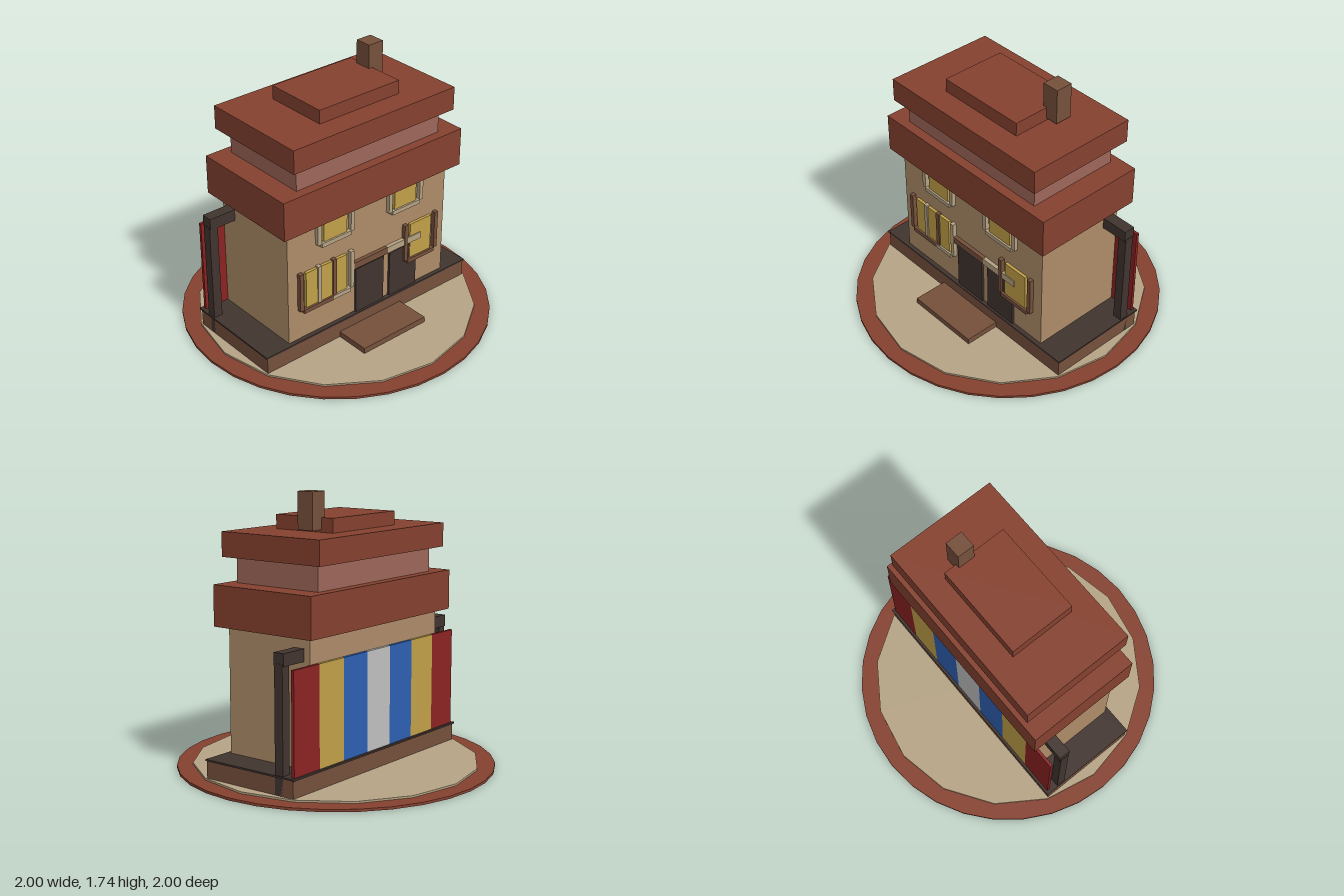
import * as THREE from 'three';

const mat = (name, color) => {
  const m = new THREE.MeshStandardMaterial({ color });
  m.name = name;
  return m;
};

export function createModel() {
  const model = new THREE.Group();
  model.name = 'house';
  const clay = mat('clayRed', 0x85412f), sand = mat('sand', 0xb5a384),
    tan = mat('tanPlaster', 0xae8c69), pink = mat('pinkPlaster', 0x9d6659),
    dark = mat('darkTimber', 0x41342f), brown = mat('brownTimber', 0x75503b),
    yellow = mat('yellow', 0xc1a048), red = mat('red', 0x8b2222),
    blue = mat('blue', 0x2e60b3), white = mat('paleGrey', 0xc0c0c0);

  // Box given by its minimum and maximum on each axis
  const box = (name, m, x0, x1, y0, y1, z0, z1, parent = model) => {
    const mesh = new THREE.Mesh(new THREE.BoxGeometry(x1 - x0, y1 - y0, z1 - z0), m);
    mesh.position.set((x0 + x1) / 2, (y0 + y1) / 2, (z0 + z1) / 2);
    mesh.name = name;
    parent.add(mesh);
    return mesh;
  };
  const disc = (name, m, r, y0, y1, sides) => {
    const mesh = new THREE.Mesh(new THREE.CylinderGeometry(r, r, y1 - y0, sides), m);
    mesh.position.y = (y0 + y1) / 2;
    mesh.name = name;
    model.add(mesh);
  };

  // Ground
  disc('groundRim', clay, 1, 0, 0.016, 32);
  disc('sandYard', sand, 0.9, 0.01, 0.028, 16);
  box('plinth', brown, -0.825, 0.825, 0.02, 0.136, -0.335, 0.335);
  box('plinthDeck', dark, -0.832, 0.832, 0.136, 0.147, -0.347, 0.339);
  box('frontStep', brown, -0.255, 0.255, 0.02, 0.066, 0.33, 0.565);

  // Storeys and roofs
  box('lowerWalls', tan, -0.64, 0.64, 0.147, 0.94, -0.31, 0.31);
  box('lowerRoof', clay, -0.705, 0.705, 0.93, 1.183, -0.372, 0.372);
  box('upperWalls', pink, -0.563, 0.563, 1.18, 1.345, -0.31, 0.31);
  box('upperRoof', clay, -0.627, 0.627, 1.34, 1.492, -0.372, 0.372);
  box('roofCap', clay, -0.309, 0.309, 1.49, 1.58, -0.217, 0.217);
  box('chimney', brown, 0.28, 0.392, 1.507, 1.735, -0.133, -0.02);

  // Windows: pane, two side bars and a sill
  const addWindow = (name, trim, x, y, d) => {
    const g = new THREE.Group();
    g.name = name;
    box('pane', yellow, x - 0.09, x + 0.09, y + 0.02, y + 0.275, 0.305, 0.329, g);
    for (const s of [-1, 1]) {
      const c = x + s * 0.129;
      box('sideBar', trim, c - 0.014, c + 0.014, y + 0.022, y + 0.284, 0.305, 0.337 + d, g);
    }
    box('sill', trim, x - 0.115, x + 0.115, y, y + 0.028, 0.305, 0.341 + d, g);
    model.add(g);
  };
  for (const s of [-1, 1]) {
    addWindow('upperWindow', sand, s * 0.284, 0.748, 0);
    addWindow('lowerWindow', brown, s * 0.425, 0.337, 0.001);
  }
  addWindow('innerLowerWindow', sand, -0.284, 0.337, 0);

  // Doors with lintels
  for (const [x, trim] of [[0, brown], [0.281, sand]]) {
    box('door', dark, x - 0.115, x + 0.115, 0.147, 0.467, 0.305, 0.325);
    box('lintel', trim, x - 0.14, x + 0.14, 0.48, 0.525, 0.305, 0.335);
  }

  // Side posts with beams reaching into the walls
  for (const s of [-1, 1]) {
    const post = box('sidePost', dark, 0.765, 0.825, 0.028, 0.8, -0.26, -0.2);
    const beam = box('sideBeam', dark, 0.6, 0.822, 0.787, 0.863, -0.268, -0.194);
    post.position.x *= s;
    beam.position.x *= s;
  }

  // Striped screen along the back
  const stripes = [red, yellow, blue, white, blue, yellow, red], w = 1.62 / 7;
  stripes.forEach((m, i) => {
    const x = -0.81 + i * w;
    box('backScreenPanel', m, x, x + w, 0.145, 0.773, -0.331, -0.312);
  });

  return model;
}
